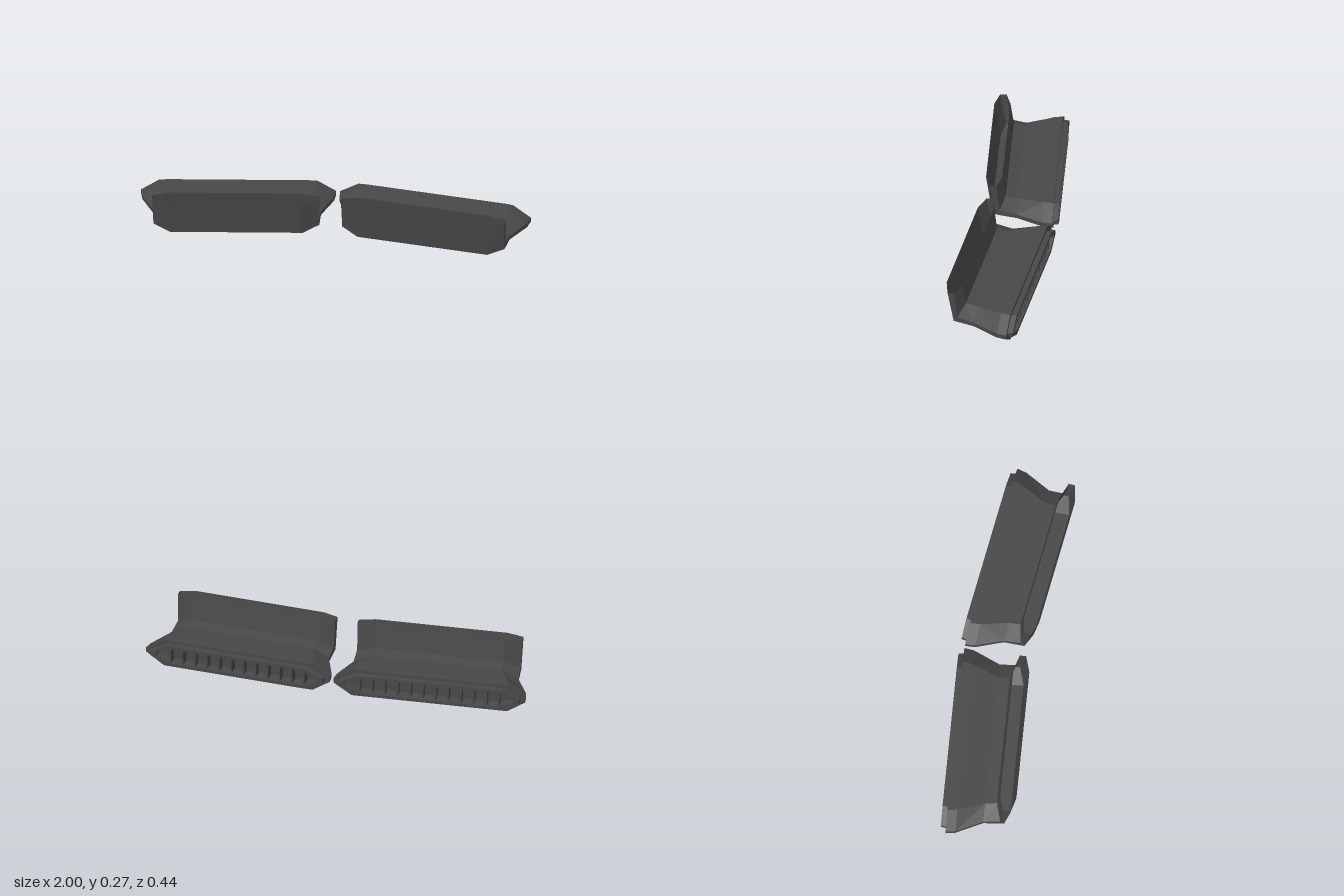
import * as THREE from 'three';

const material = new THREE.MeshStandardMaterial({
  color: 0x484848, flatShading: true, side: THREE.DoubleSide,
});

// Long octagonal section running from a lower/front point to an upper/back point.
// a, b: [z, y]; w: half width; bevel: corner length; f: half of the flat end, as a fraction
function section({ a, b, w, bevel, f }) {
  const n = w - bevel;
  return [[-n, 0], [n, 0], [w, 0.5 - f], [w, 0.5 + f], [n, 1], [-n, 1], [-w, 0.5 + f], [-w, 0.5 - f]]
    .map(([u, s]) => [u, a[1] + (b[1] - a[1]) * s, a[0] + (b[0] - a[0]) * s]);
}

// Skin a row of sections, closing the last one with a flat cap
function loft(sections) {
  const rings = sections.map(section);
  const n = rings[0].length;
  const index = [];
  for (let i = 0; i < rings.length - 1; i++) {
    for (let j = 0; j < n; j++) {
      const k = (j + 1) % n;
      const p = i * n + j, q = i * n + k;
      index.push(p, p + n, q, q, p + n, q + n);
    }
  }
  const last = (rings.length - 1) * n;
  for (let j = 1; j < n - 1; j++) index.push(last, last + j + 1, last + j);
  const geometry = new THREE.BufferGeometry();
  geometry.setAttribute('position', new THREE.Float32BufferAttribute(rings.flat(2), 3));
  geometry.setIndex(index);
  const flat = geometry.toNonIndexed();
  flat.computeVertexNormals();
  return flat;
}

function add(parent, name, geometry) {
  const mesh = new THREE.Mesh(geometry, material);
  mesh.name = name;
  parent.add(mesh);
  return mesh;
}

function createDuct(name) {
  const duct = new THREE.Group();
  duct.name = name;

  // Open upright inlet, elbow, flared body and stepped outlet rim with its recess
  add(duct, 'ductShell', loft([
    { a: [0.192, 0.263], b: [0.11, 0.265], w: 0.425, bevel: 0.085, f: 0.2 },
    { a: [0.162, 0.057], b: [0.092, 0.15], w: 0.422, bevel: 0.085, f: 0.14 },
    { a: [0.027, 0.032], b: [0.033, 0.14], w: 0.425, bevel: 0.085, f: 0.1 },
    { a: [-0.105, 0.008], b: [-0.105, 0.157], w: 0.488, bevel: 0.095, f: 0.08 },
    { a: [-0.155, 0.008], b: [-0.155, 0.159], w: 0.496, bevel: 0.095, f: 0.08 },
    { a: [-0.155, 0.024], b: [-0.155, 0.141], w: 0.468, bevel: 0.09, f: 0.1 },
    { a: [-0.182, 0.024], b: [-0.182, 0.141], w: 0.464, bevel: 0.09, f: 0.1 },
    { a: [-0.182, 0.04], b: [-0.182, 0.125], w: 0.43, bevel: 0.075, f: 0.12 },
    { a: [-0.125, 0.04], b: [-0.125, 0.125], w: 0.43, bevel: 0.075, f: 0.12 },
  ]));

  // Row of upright vanes inside the outlet
  const vanes = new THREE.Group();
  vanes.name = 'vanes';
  const count = 12;
  for (let i = 0; i < count; i++) {
    const u = -0.36 + (0.72 * i) / (count - 1);
    const vane = add(vanes, 'vane', new THREE.BoxGeometry(0.01, 0.084, 0.045));
    vane.position.set(u, 0.0825, -0.149);
  }
  duct.add(vanes);

  // Each duct is swept back and rolled a little
  duct.position.x = 0.489;
  duct.rotation.set(0, -0.087, -0.0175);
  return duct;
}

export function createModel() {
  const model = new THREE.Group();
  model.name = 'airDucts';
  model.add(createDuct('leftDuct'));

  // Mirrored copy on the other side
  const mirror = new THREE.Group();
  mirror.name = 'rightSide';
  mirror.scale.x = -1;
  mirror.add(createDuct('rightDuct'));
  model.add(mirror);
  return model;
}
